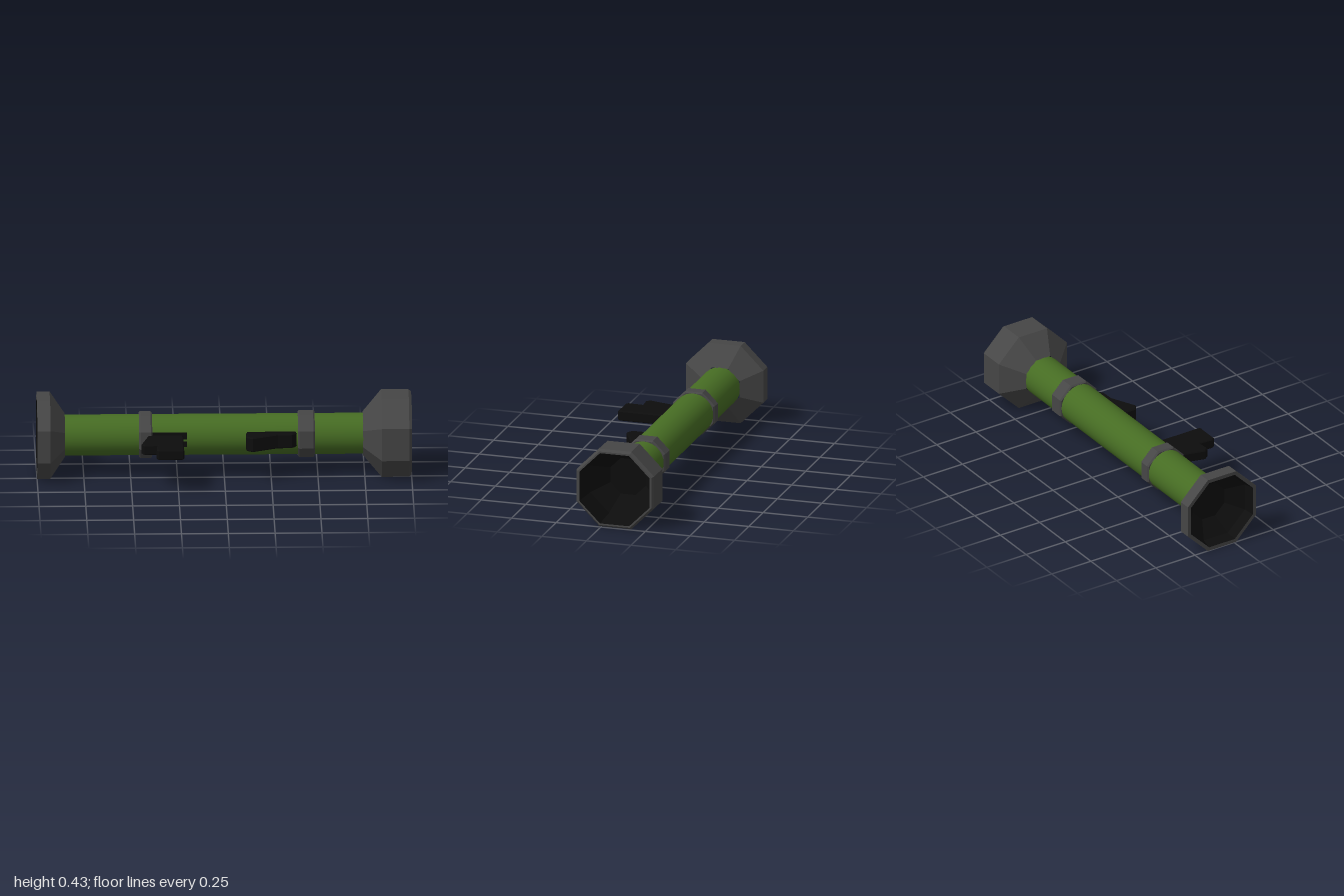
import * as THREE from 'three';

const AXIS_Y = 0.217, AXIS_Z = -0.0775;
const COS8 = Math.cos(Math.PI / 8);

export function createModel() {
  const model = new THREE.Group();
  model.name = 'shoulderLauncher';
  const mat = (name, color) => {
    const m = new THREE.MeshStandardMaterial({ color });
    m.name = name;
    return m;
  };
  const green = mat('oliveGreen', 0x466c23);
  const grey = mat('darkGrey', 0x464646);
  const black = mat('black', 0x0d0d0d);

  const add = (name, geometry, material) => {
    const mesh = new THREE.Mesh(geometry, material);
    mesh.name = name;
    model.add(mesh);
    return mesh;
  };

  // Faceted octagonal turning along x; profile is [x, distance to flat side]
  const octagon = (name, profile, material) => {
    const pts = profile.map(([x, r]) => new THREE.Vector2(r / COS8, x));
    const g = new THREE.LatheGeometry(pts, 8).rotateY(Math.PI / 8).rotateZ(-Math.PI / 2).toNonIndexed();
    g.computeVertexNormals();
    return add(name, g.translate(0, AXIS_Y, AXIS_Z), material);
  };

  // Plate drawn in plan as [x, z], extruded in y around the tube axis
  const plate = (name, outline, height, bevel) => {
    const shape = new THREE.Shape(outline.map(([x, z]) => new THREE.Vector2(x, z)));
    const depth = height - 2 * bevel;
    const g = new THREE.ExtrudeGeometry(shape, {
      depth, bevelEnabled: bevel > 0, bevelThickness: bevel, bevelSize: bevel, bevelOffset: -bevel, bevelSegments: 1,
    });
    g.translate(0, 0, -depth / 2).rotateX(Math.PI / 2);
    return add(name, g.translate(0, AXIS_Y, 0), black);
  };

  // Smooth main tube
  const tube = new THREE.CylinderGeometry(0.11, 0.11, 1.61, 32).rotateZ(-Math.PI / 2);
  add('tube', tube.translate(-0.055, AXIS_Y, AXIS_Z), green);

  // Flared ends with dark hollow mouths
  octagon('muzzle', [[0.74, 0.108], [0.84, 0.217], [0.985, 0.217], [1, 0.206], [1, 0.197]], grey);
  octagon('muzzleHollow', [[1, 0.197], [0.86, 0.18], [0.76, 0.1], [0.76, 0]], black);
  octagon('exhaust', [[-1, 0.197], [-1, 0.217], [-0.93, 0.217], [-0.85, 0.108]], grey);
  octagon('exhaustHollow', [[-0.87, 0], [-0.87, 0.1], [-0.94, 0.185], [-1, 0.197]], black);

  // Clamp bands
  for (const [name, a, b] of [['rearBand', -0.455, -0.385], ['frontBand', 0.393, 0.483]]) {
    octagon(name, [[a, 0.1], [a, 0.11], [a + 0.008, 0.117], [b - 0.008, 0.117], [b, 0.11], [b, 0.1]], grey);
  }

  // Mounts set into the side of the tube
  for (const [name, a, b] of [['rearMount', -0.4, -0.2], ['frontMount', 0.12, 0.38]]) {
    const g = new THREE.BoxGeometry(b - a, 0.08, 0.05);
    add(name, g.translate((a + b) / 2, AXIS_Y + 0.003, 0.007), black);
  }

  // Stepped rear grip
  plate('rearGrip', [[-0.41, 0], [-0.22, 0], [-0.22, 0.285], [-0.228, 0.295], [-0.355, 0.295],
    [-0.367, 0.28], [-0.362, 0.2], [-0.43, 0.205], [-0.447, 0.18], [-0.41, 0.04]], 0.056, 0.006);

  // Wedge-shaped front grip
  plate('frontGrip', [[0.115, 0], [0.39, 0], [0.385, 0.035], [0.36, 0.06], [0.285, 0.062],
    [0.15, 0.127], [0.115, 0.105]], 0.08, 0.006);

  return model;
}
